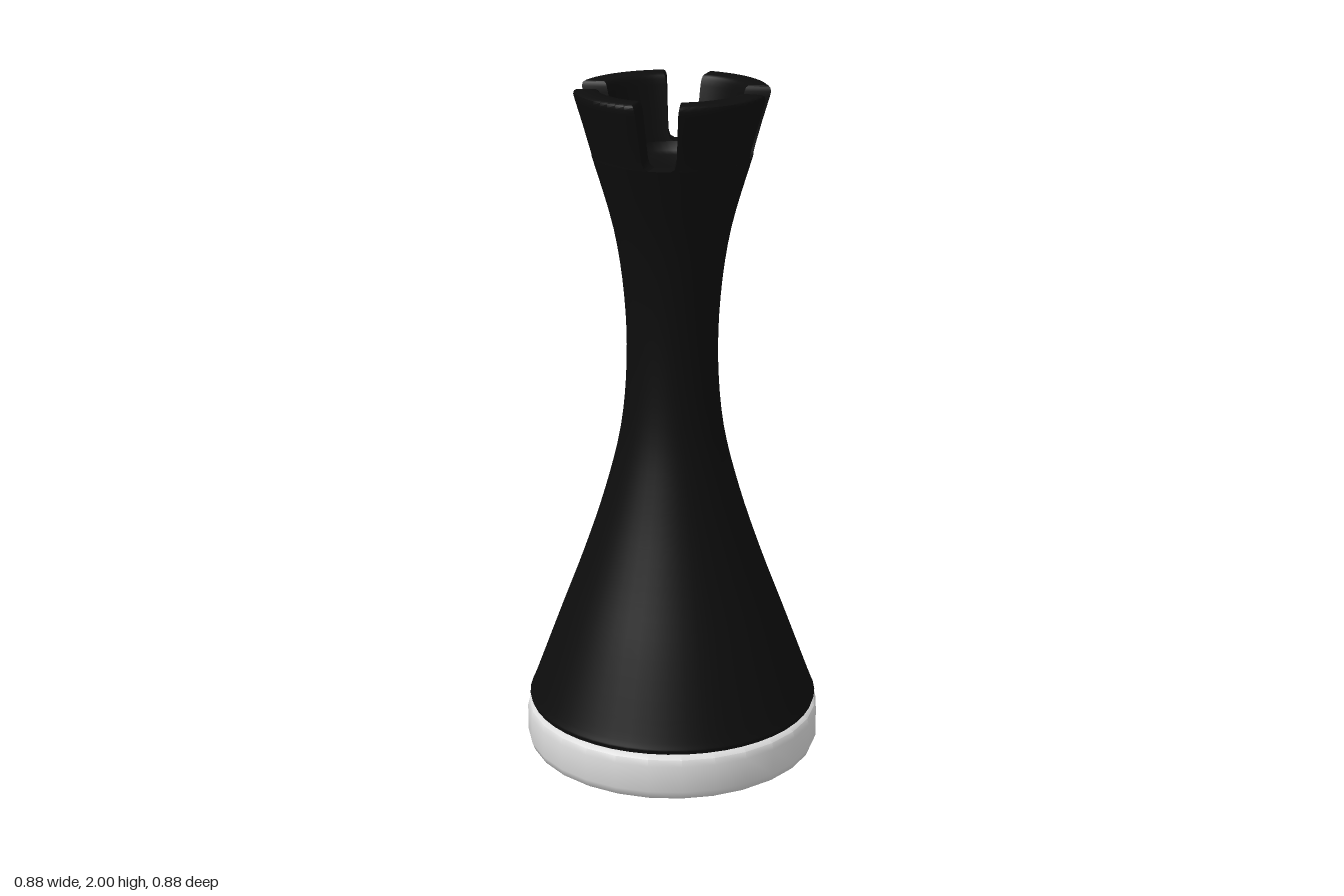
import * as THREE from 'three';
import { toCreasedNormals } from 'three/addons/utils/BufferGeometryUtils.js';

const black = new THREE.MeshStandardMaterial({ color: 0x0d0d0d });
black.name = 'black';
const white = new THREE.MeshStandardMaterial({ color: 0xdcdcdc });
white.name = 'white';

function lathe(name, profile, sides, material) {
  const points = profile.map(([r, y]) => new THREE.Vector2(r, y));
  const mesh = new THREE.Mesh(toCreasedNormals(new THREE.LatheGeometry(points, sides), 0.75), material);
  mesh.name = name;
  return mesh;
}

// One crown tooth: stacked quarter-ring loops, each [y, outer radius, inner radius, half gap].
function toothGeometry() {
  const levels = [
    [1.81, 0.228, 0.17, 0.022],
    [1.817, 0.229, 0.171, 0.034],
    [1.835, 0.234, 0.174, 0.04],
    [1.9, 0.252, 0.187, 0.045],
    [1.97, 0.273, 0.199, 0.05],
    [1.985, 0.277, 0.203, 0.052],
    [1.995, 0.275, 0.207, 0.055],
    [2.0, 0.268, 0.214, 0.06],
  ];
  const n = 12, loop = 2 * n, pos = [], idx = [];
  for (const [y, outer, inner, gap] of levels) {
    for (let k = 0; k < loop; k++) {
      const out = k < n;
      const r = out ? outer : inner;
      const start = Math.asin((gap + (out ? 0.009 : 0)) / r);
      const t = (out ? k : loop - 1 - k) / (n - 1);
      const a = start + t * (Math.PI / 2 - 2 * start);
      pos.push(r * Math.cos(a), y, r * Math.sin(a));
    }
  }
  for (let j = 0; j < levels.length - 1; j++) {
    for (let k = 0; k < loop; k++) {
      const a = j * loop + k, b = j * loop + (k + 1) % loop;
      idx.push(a, a + loop, b, b, a + loop, b + loop);
    }
  }
  // flat top
  const top = (levels.length - 1) * loop;
  for (let k = 0; k < n - 1; k++) {
    const o = top + k, i = top + loop - 1 - k;
    idx.push(o, i, o + 1, o + 1, i, i - 1);
  }
  const g = new THREE.BufferGeometry();
  g.setAttribute('position', new THREE.Float32BufferAttribute(pos, 3));
  g.setIndex(idx);
  return toCreasedNormals(g, 0.75);
}

export function createModel() {
  const model = new THREE.Group();
  model.name = 'rook';

  // Rounded disc foot
  model.add(lathe('base', [
    [0, 0], [0.42, 0], [0.432, 0.008], [0.44, 0.03], [0.44, 0.11],
    [0.435, 0.13], [0.42, 0.14], [0, 0.14],
  ], 28, white));

  // Waisted column: smooth flank, then the rim and shallow cup
  const flank = new THREE.SplineCurve([
    [0.432, 0.158], [0.415, 0.2], [0.341, 0.4], [0.266, 0.6], [0.2, 0.8],
    [0.151, 1.0], [0.133, 1.2], [0.139, 1.4], [0.168, 1.6], [0.228, 1.81],
  ].map(([r, y]) => new THREE.Vector2(r, y))).getPoints(36).map((p) => [p.x, p.y]);
  model.add(lathe('column', [
    [0.41, 0.139], [0.428, 0.146], ...flank,
    [0.17, 1.81], [0.162, 1.785], [0.15, 1.775], [0, 1.775],
  ], 48, black));

  // Crown of four teeth
  const crown = new THREE.Group();
  crown.name = 'crown';
  const geometry = toothGeometry();
  for (let i = 0; i < 4; i++) {
    const tooth = new THREE.Mesh(geometry, black);
    tooth.name = 'tooth';
    tooth.rotation.y = i * Math.PI / 2;
    crown.add(tooth);
  }
  model.add(crown);
  return model;
}
